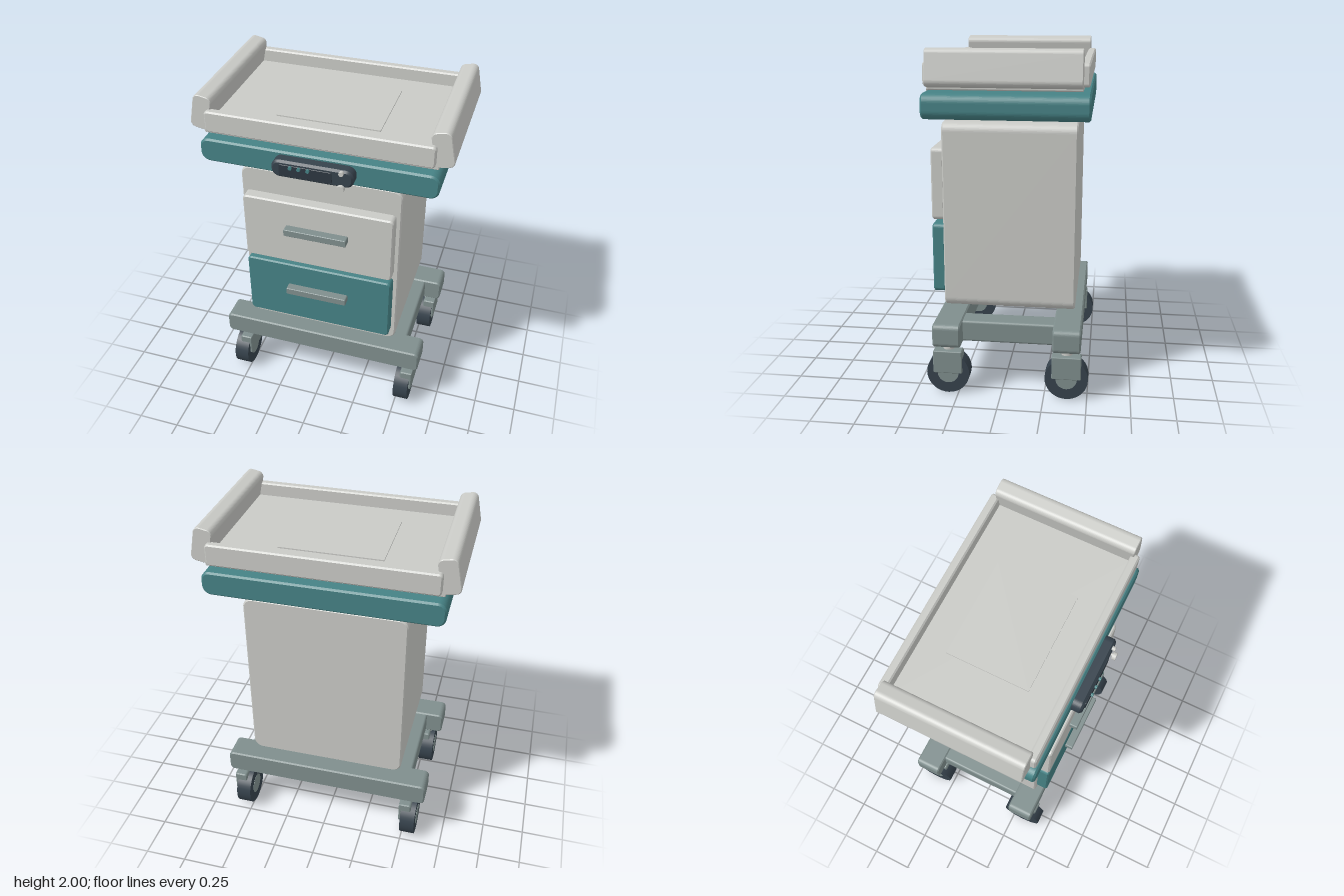
import * as THREE from 'three';

const mat = (name, color) => Object.assign(new THREE.MeshStandardMaterial({ color }), { name });

// Block with rounded corners in the front profile and a small chamfer front and back
function block(w, h, d, r, bevel = 0.008) {
  const x = w / 2 - bevel, y = h / 2 - bevel, c = Math.max(r - bevel, 0.001);
  const s = new THREE.Shape();
  s.absarc(x - c, y - c, c, 0, Math.PI / 2);
  s.absarc(-x + c, y - c, c, Math.PI / 2, Math.PI);
  s.absarc(-x + c, -y + c, c, Math.PI, Math.PI * 1.5);
  s.absarc(x - c, -y + c, c, Math.PI * 1.5, Math.PI * 2);
  s.closePath();
  const g = new THREE.ExtrudeGeometry(s, {
    depth: d - 2 * bevel, bevelEnabled: true, bevelSize: bevel,
    bevelThickness: bevel, bevelSegments: 1, curveSegments: 6,
  });
  return g.translate(0, 0, -d / 2 + bevel);
}

export function createModel() {
  const model = new THREE.Group();
  model.name = 'medicalCart';
  const light = mat('lightGrey', 0xc9cac6);
  const teal = mat('teal', 0x468285);
  const slate = mat('slateGrey', 0x7f8e8d);
  const dark = mat('darkRubber', 0x36424c);
  const black = mat('screenDark', 0x2d3740);

  const add = (name, geo, material, x, y, z, parent = model) => {
    const m = new THREE.Mesh(geo, material);
    m.name = name;
    m.position.set(x, y, z);
    parent.add(m);
    return m;
  };
  // Rounded block given by its extents
  const span = (name, material, [x0, x1], [y0, y1], [z0, z1], r, bevel) =>
    add(name, block(x1 - x0, y1 - y0, z1 - z0, r, bevel), material,
      (x0 + x1) / 2, (y0 + y1) / 2, (z0 + z1) / 2);

  // Casters: wheel, hub, one-sided fork on the +x side, stem
  const tyre = new THREE.CylinderGeometry(0.125, 0.125, 0.09, 36).rotateZ(Math.PI / 2);
  const hub = new THREE.CylinderGeometry(0.062, 0.062, 0.094, 28).rotateZ(Math.PI / 2);
  const stem = new THREE.CylinderGeometry(0.034, 0.034, 0.06, 20);
  for (const x of [-0.538, 0.538]) {
    for (const z of [0.31, -0.38]) {
      const caster = new THREE.Group();
      caster.name = 'caster';
      caster.position.set(x, 0, z);
      model.add(caster);
      add('wheel', tyre, dark, 0, 0.125, 0, caster);
      add('hub', hub, slate, 0, 0.125, 0, caster);
      add('forkPlate', block(0.018, 0.137, 0.17, 0.006, 0.005), slate, 0.052, 0.196, 0, caster);
      add('forkTop', block(0.076, 0.06, 0.17, 0.015, 0.006), slate, 0.023, 0.235, 0, caster);
      add('stem', stem, light, 0, 0.285, 0, caster);
    }
  }

  // Base frame
  span('frontBaseBar', slate, [-0.63, 0.63], [0.298, 0.438], [0.23, 0.39], 0.03);
  span('rearBaseBar', slate, [-0.63, 0.63], [0.298, 0.438], [-0.46, -0.3], 0.03);
  for (const x of [-0.46, 0.46]) {
    span('sideBaseBar', slate, [x - 0.065, x + 0.065], [0.302, 0.43], [-0.31, 0.24], 0.015);
  }

  // Cabinet with two drawers
  span('cabinet', light, [-0.467, 0.467], [0.494, 1.582], [-0.415, 0.345], 0.055);
  for (const [y0, y1, yh, m] of [[1.01, 1.43, 1.253, light], [0.573, 0.985, 0.814, teal]]) {
    span('drawerFront', m, [-0.44, 0.44], [y0, y1], [0.342, 0.415], 0.025);
    span('drawerHandle', slate, [-0.185, 0.183], [yh - 0.022, yh + 0.022], [0.41, 0.462], 0.008, 0.003);
  }

  // Work top
  span('workTop', teal, [-0.667, 0.667], [1.62, 1.76], [-0.486, 0.414], 0.05, 0.01);

  // Control panel
  span('controlPanel', dark, [-0.23, 0.227], [1.638, 1.742], [0.4, 0.475], 0.045, 0.012);
  span('panelScreen', black, [-0.185, 0.11], [1.655, 1.722], [0.472, 0.48], 0.01, 0.002);
  const lamp = new THREE.CylinderGeometry(0.01, 0.01, 0.014, 14).rotateX(Math.PI / 2);
  for (const x of [-0.118, -0.07, -0.02]) add('indicatorLamp', lamp, teal, x, 1.712, 0.485);
  const knob = new THREE.CylinderGeometry(0.022, 0.022, 0.022, 20).rotateX(Math.PI / 2);
  add('knob', knob, light, 0.163, 1.643, 0.496);
  add('knobStem', new THREE.CylinderGeometry(0.009, 0.009, 0.03, 12).rotateX(Math.PI / 2), light, 0.163, 1.648, 0.476);
  add('button', new THREE.CylinderGeometry(0.013, 0.013, 0.02, 16).rotateX(Math.PI / 2), light, 0.163, 1.73, 0.481);

  // Tray floor, pad and rails
  span('trayFloor', light, [-0.65, 0.65], [1.778, 1.845], [-0.445, 0.375], 0.01, 0.004);
  add('trayPad', new THREE.BoxGeometry(0.59, 0.008, 0.475), light, 0, 1.848, -0.0375);
  for (const [z0, z1] of [[0.355, 0.403], [-0.478, -0.43]]) {
    span('trayRail', light, [-0.632, 0.632], [1.798, 1.922], [z0, z1], 0.02);
  }

  // Side bolsters, tilted inward
  const bolster = block(0.105, 0.2, 0.82, 0.032, 0.004);
  for (const s of [-1, 1]) {
    add('sideBolster', bolster, light, s * 0.662, 1.896, -0.035).rotation.z = s * 0.19;
  }
  return model;
}
